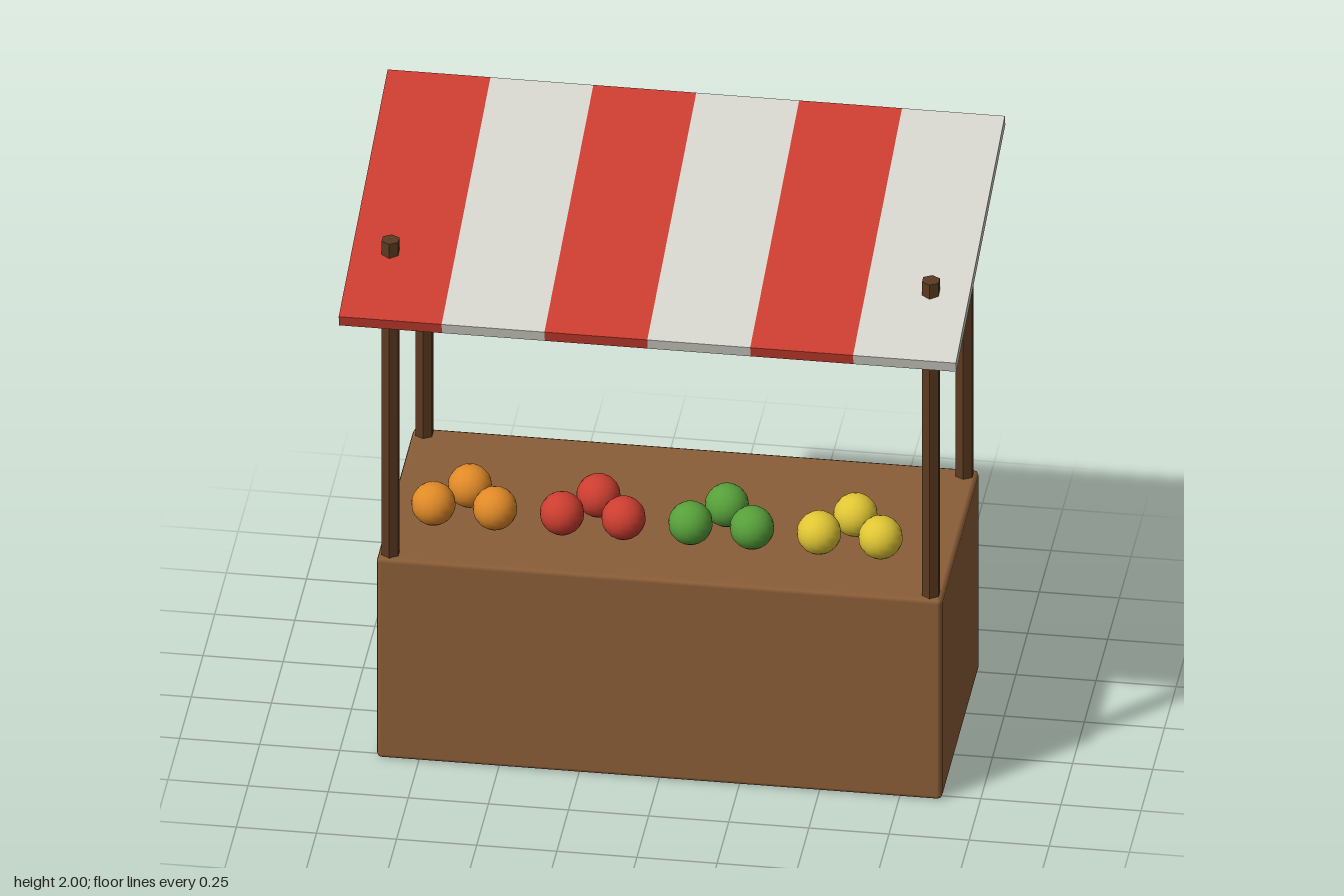
import * as THREE from 'three';
import { RoundedBoxGeometry } from 'three/addons/geometries/RoundedBoxGeometry.js';

const material = (name, color) => {
  const m = new THREE.MeshStandardMaterial({ color });
  m.name = name;
  return m;
};

export function createModel() {
  const stall = new THREE.Group();
  stall.name = 'marketStall';

  const wood = material('wood', 0x8b5e38);
  const darkWood = material('darkWood', 0x5c3b21);
  const red = material('red', 0xcc3e30);
  const white = material('white', 0xd6d5cd);
  const orange = material('orange', 0xe08a28);
  const green = material('green', 0x57a03a);
  const yellow = material('yellow', 0xe0c634);

  const add = (parent, name, geometry, mat, x, y, z) => {
    const mesh = new THREE.Mesh(geometry, mat);
    mesh.name = name;
    mesh.position.set(x, y, z);
    parent.add(mesh);
    return mesh;
  };

  // Counter: a solid block with softened edges
  add(stall, 'counter', new RoundedBoxGeometry(1.765, 0.72, 0.8, 1, 0.015), wood, 0, 0.36, -0.12);

  // Four hexagonal posts; the front pair pokes through the awning
  const postGeometry = new THREE.CylinderGeometry(0.03, 0.03, 1.15, 6).toNonIndexed();
  postGeometry.computeVertexNormals();
  for (const side of [-1, 1]) {
    for (const [name, z] of [['frontPost', 0.24], ['backPost', -0.48]]) {
      add(stall, name, postGeometry, darkWood, side * 0.843, 1.275, z);
    }
  }

  // Sloping awning made of six stripes
  const awning = new THREE.Group();
  awning.name = 'awning';
  awning.position.y = 1.848;
  awning.rotation.x = 0.25;
  stall.add(awning);
  const stripeWidth = 0.321;
  const stripeGeometry = new THREE.BoxGeometry(stripeWidth, 0.038, 1.08);
  for (let i = 0; i < 6; i++) {
    add(awning, 'awningStripe', stripeGeometry, i % 2 ? white : red, (i - 2.5) * stripeWidth, 0, 0);
  }

  // Fruit: four piles of three, two in front and one behind
  const fruitGeometry = new THREE.SphereGeometry(0.069, 16, 12);
  [orange, red, green, yellow].forEach((mat, i) => {
    const pile = new THREE.Group();
    pile.name = 'fruitPile';
    pile.position.set(-0.642 + i * 0.401, 0.79, 0);
    stall.add(pile);
    for (const k of [-1, 0, 1]) {
      add(pile, 'fruit', fruitGeometry, mat, k * 0.096, 0, k ? 0.043 : -0.079);
    }
  });

  return stall;
}
